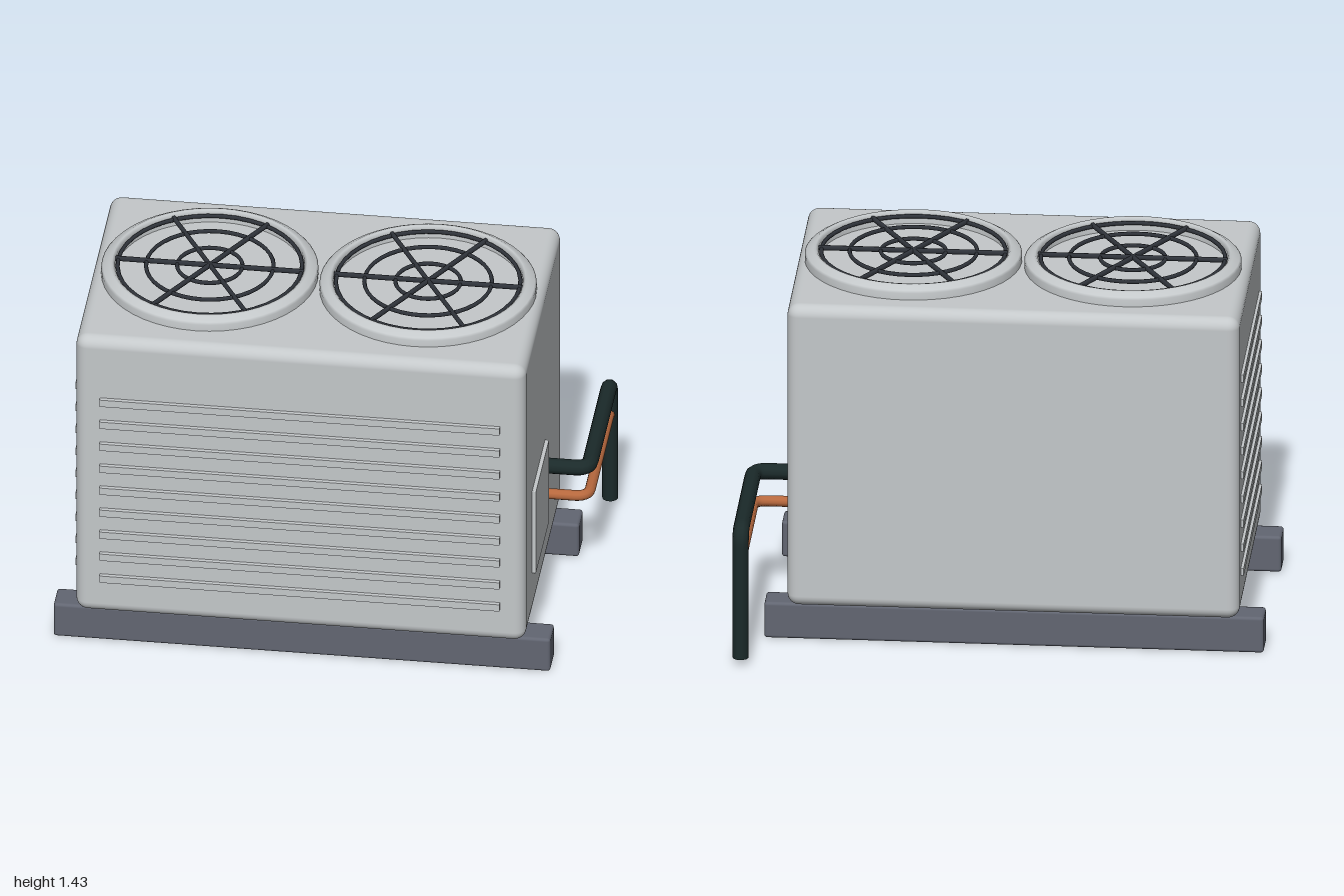
import * as THREE from 'three';
import { RoundedBoxGeometry } from 'three/addons/geometries/RoundedBoxGeometry.js';

const material = (name, color, side = THREE.FrontSide) => {
  const m = new THREE.MeshStandardMaterial({ color, side });
  m.name = name;
  return m;
};

// Path through points with softly bent corners
function bentPath(points, bend) {
  const pts = points.map((p) => new THREE.Vector3(...p));
  const path = new THREE.CurvePath();
  let from = pts[0];
  for (let i = 1; i < pts.length - 1; i++) {
    const p = pts[i];
    const a = p.clone().add(pts[i - 1].clone().sub(p).setLength(bend));
    const b = p.clone().add(pts[i + 1].clone().sub(p).setLength(bend));
    path.add(new THREE.LineCurve3(from, a));
    path.add(new THREE.QuadraticBezierCurve3(a, p, b));
    from = b;
  }
  path.add(new THREE.LineCurve3(from, pts[pts.length - 1]));
  return path;
}

export function createModel() {
  const group = new THREE.Group();
  const casing = material('casing grey', 0xc4c8ca, THREE.DoubleSide);
  const railGrey = material('rail slate', 0x626672);
  const grilleDark = material('grille charcoal', 0x30343b);
  const insulation = material('insulation black', 0x1b2a2a);
  const copper = material('copper', 0xb8693e);

  const add = (name, geometry, mat, x = 0, y = 0, z = 0, parent = group) => {
    const mesh = new THREE.Mesh(geometry, mat);
    mesh.name = name;
    mesh.position.set(x, y, z);
    parent.add(mesh);
    return mesh;
  };

  // Cabinet
  add('cabinet', new RoundedBoxGeometry(1.72, 1.23, 1.04, 4, 0.045), casing, -0.05, 0.765, 0.115);

  // Mounting rails
  for (const z of [0.525, -0.292]) {
    add('mountingRail', new RoundedBoxGeometry(1.9, 0.145, 0.118, 2, 0.012), railGrey, -0.05, 0.0725, z);
  }

  // Louvres on the front and on the right-hand end
  for (let i = 0; i < 9; i++) {
    const y = 0.314 + i * 0.0988;
    add('frontLouvre', new THREE.BoxGeometry(1.53, 0.03, 0.03), casing, -0.05, y, 0.637);
    add('sideLouvre', new THREE.BoxGeometry(0.03, 0.03, 0.85), casing, -0.906, y, 0.115);
  }

  // Service panel
  add('servicePanel', new RoundedBoxGeometry(0.03, 0.37, 0.37, 2, 0.004), casing, 0.81, 0.52, 0.24);

  // Fan openings with wire guards
  const shroudProfile = [
    [0.412, 1.365], [0.412, 1.407], [0.405, 1.415], [0.38, 1.43],
    [0.37, 1.43], [0.36, 1.42], [0.36, 1.365],
  ].map(([r, y]) => new THREE.Vector2(r, y));
  for (const x of [-0.465, 0.37]) {
    const fan = new THREE.Group();
    fan.name = 'fanGuard';
    fan.position.set(x, 0, 0.112);
    group.add(fan);
    add('fanShroud', new THREE.LatheGeometry(shroudProfile, 48), casing, 0, 0, 0, fan);
    for (const r of [0.35, 0.242, 0.124]) {
      const ring = add('guardRing', new THREE.TorusGeometry(r, 0.008, 6, 40), grilleDark, 0, 1.414, 0, fan);
      ring.rotation.x = Math.PI / 2;
    }
    for (let i = 0; i < 3; i++) {
      const spoke = add('guardSpoke', new THREE.CylinderGeometry(0.01, 0.01, 0.72, 6), grilleDark, 0, 1.416, 0, fan);
      spoke.rotation.set(0, (i * Math.PI) / 3, Math.PI / 2);
    }
  }

  // Refrigerant pipes, the copper line joining the insulated drop
  const pipe = (name, y, z, radius, mat, bottom) => {
    const path = bentPath([[0.78, y, z], [0.967, y, z], [0.967, y, -0.624], [0.967, bottom, -0.624]], 0.055);
    add(name, new THREE.TubeGeometry(path, 120, radius, 10), mat);
    const cap = add(name + 'End', new THREE.CircleGeometry(radius, 10), mat, 0.967, bottom, -0.624);
    cap.rotation.x = Math.PI / 2;
  };
  pipe('insulatedPipe', 0.545, -0.012, 0.031, insulation, 0.03);
  pipe('copperPipe', 0.422, -0.008, 0.021, copper, 0.026);

  return group;
}
